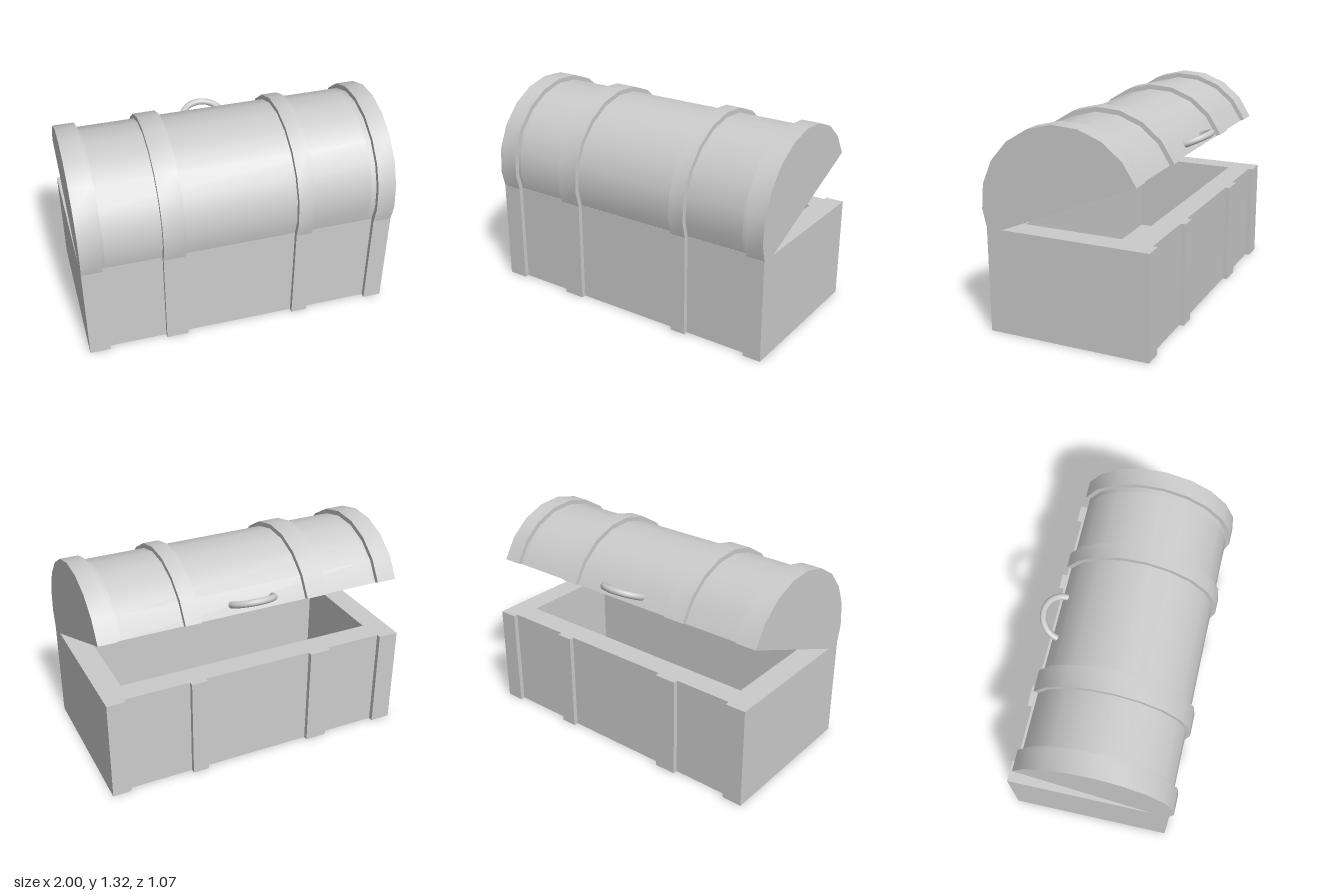
import * as THREE from 'three';
import { toCreasedNormals } from 'three/addons/utils/BufferGeometryUtils.js';

const material = new THREE.MeshStandardMaterial({ color: 0xcccccc });
// Reinforcing bands as [start, end] along x
const BANDS = [[-1, -0.868], [-0.495, -0.354], [0.36, 0.463], [0.882, 1]];

function addMesh(parent, name, geometry) {
  const mesh = new THREE.Mesh(geometry, material);
  mesh.name = name;
  parent.add(mesh);
  return mesh;
}

function addBox(parent, name, x0, x1, y0, y1, z0, z1) {
  const geometry = new THREE.BoxGeometry(x1 - x0, y1 - y0, z1 - z0);
  addMesh(parent, name, geometry).position.set((x0 + x1) / 2, (y0 + y1) / 2, (z0 + z1) / 2);
}

// Half ellipse of ten straight segments
function arc(rx, ry) {
  return Array.from({ length: 11 }, (_, i) => {
    const a = (i * Math.PI) / 10;
    return new THREE.Vector2(rx * Math.cos(a), ry * Math.sin(a));
  });
}

// Barrel-vault piece running along x, solid or with an open arched inside
function vault(outer, inner, x0, x1) {
  const points = inner ? [...outer, ...inner.slice().reverse()] : outer;
  const geometry = new THREE.ExtrudeGeometry(new THREE.Shape(points), {
    depth: x1 - x0, bevelEnabled: false, steps: 1,
  });
  geometry.rotateY(Math.PI / 2).translate(x0, 0, 0);
  return toCreasedNormals(geometry, 0.6);
}

function createBase() {
  const base = new THREE.Group();
  base.name = 'base';
  const top = 0.66, floor = 0.12, mid = -0.014, half = 0.49, proud = 0.03;

  // Floor and four thick walls
  addBox(base, 'floor', -1, 1, 0, floor, mid - half, mid + half);
  const rect = (w, h, Type) => new Type([[-w, -h], [w, -h], [w, h], [-w, h]].map((p) => new THREE.Vector2(...p)));
  const ring = rect(1, half, THREE.Shape);
  ring.holes.push(rect(0.85, 0.345, THREE.Path));
  const walls = new THREE.ExtrudeGeometry(ring, { depth: top - floor, bevelEnabled: false });
  walls.rotateX(-Math.PI / 2).translate(0, floor, mid);
  addMesh(base, 'walls', walls);

  // Bands on both long sides
  for (const [x0, x1] of BANDS) {
    addBox(base, 'frontBand', x0, x1, 0, top, mid + half, mid + half + proud);
    addBox(base, 'backBand', x0, x1, 0, top, mid - half - proud, mid - half);
  }
  return base;
}

function createLid() {
  const lid = new THREE.Group();
  lid.name = 'lid';
  const bandArc = arc(0.517, 0.498);
  const bodyArc = arc(0.487, 0.468);
  const hollowArc = arc(0.345, 0.33);

  // Hollow vault closed by thick end walls
  addMesh(lid, 'lidVault', vault(bodyArc, hollowArc, -0.85, 0.85));
  for (const s of [-1, 1]) {
    addMesh(lid, 'lidEndWall', vault(bodyArc, null, Math.min(s, s * 0.85), Math.max(s, s * 0.85)));
  }
  for (const [x0, x1] of BANDS) addMesh(lid, 'lidBand', vault(bandArc, bodyArc, x0, x1));

  // Arched handle near the opening edge
  const path = Array.from({ length: 13 }, (_, i) => {
    const a = (i * Math.PI) / 12;
    return new THREE.Vector3(0.14 * Math.cos(a), 0.06, -0.465 - 0.135 * Math.sin(a));
  });
  const curve = new THREE.CatmullRomCurve3(path);
  addMesh(lid, 'handle', new THREE.TubeGeometry(curve, 24, 0.021, 12, false));
  // Rounded handle ends
  for (const s of [-1, 1]) {
    addMesh(lid, 'handleEnd', new THREE.SphereGeometry(0.021, 12, 8)).position.set(s * 0.14, 0.06, -0.465);
  }

  // Swing open about the front edge
  lid.position.set(0, 0.821, 0.019);
  lid.rotation.x = THREE.MathUtils.degToRad(22.8);
  return lid;
}

export function createModel() {
  const chest = new THREE.Group();
  chest.name = 'chest';
  chest.add(createBase(), createLid());
  return chest;
}
